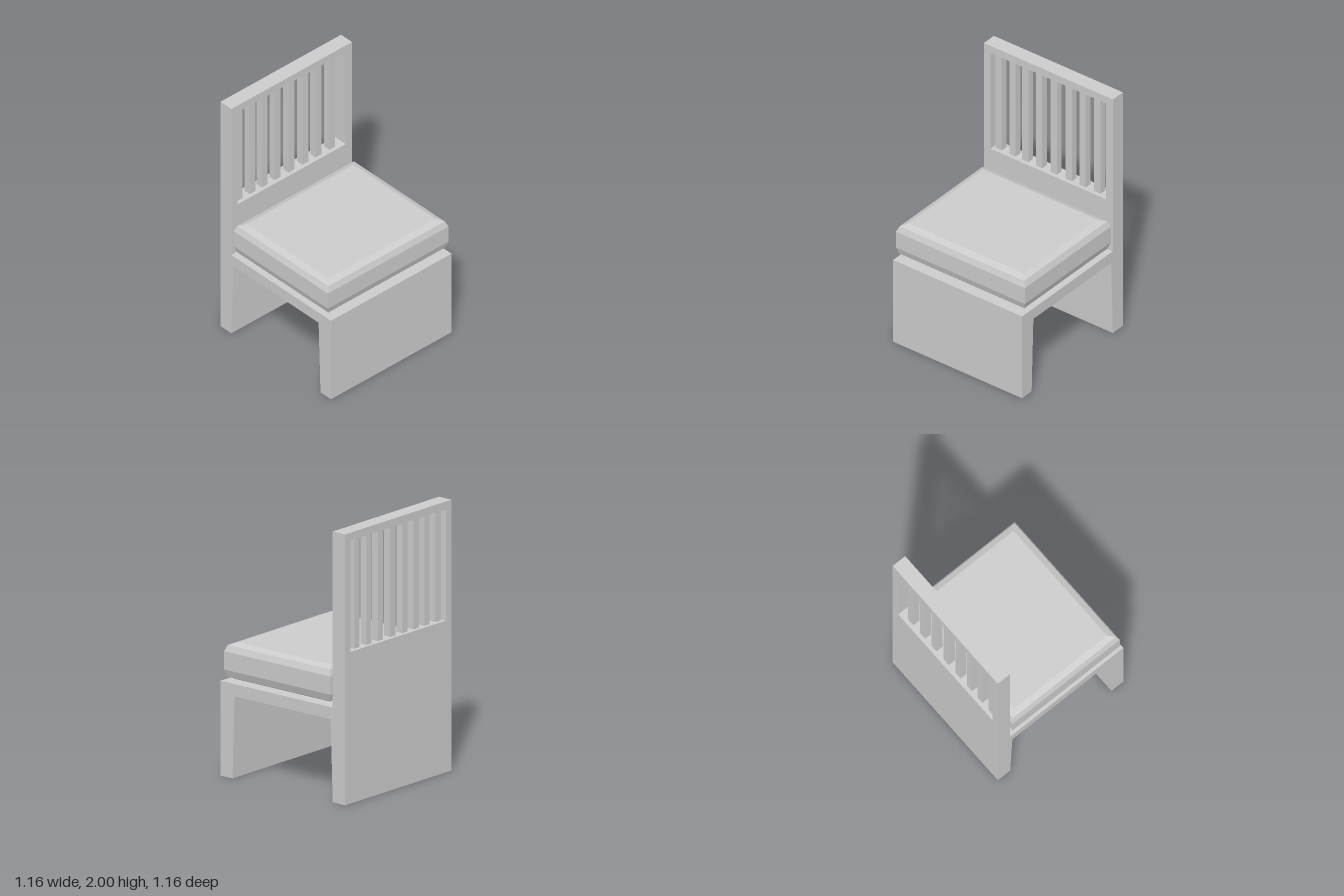
import * as THREE from 'three';

const WIDTH = 1.16;
const SILL = 1.12; // bottom of the slatted opening
const TOP = 2;
const BACK_Z = -0.58;
const BACK_DEPTH = 0.115;

const material = new THREE.MeshStandardMaterial({ color: 0xcccccc, flatShading: true });

function addMesh(parent, name, geometry) {
  const mesh = new THREE.Mesh(geometry, material);
  mesh.name = name;
  parent.add(mesh);
  return mesh;
}

const points = (list) => list.map(([x, y]) => new THREE.Vector2(x, y));

// Side profile (z, y) of slab legs, seat board and solid lower back, swept across the width
function bodyGeometry() {
  const front = BACK_Z + BACK_DEPTH;
  const profile = new THREE.Shape(points([
    [BACK_Z, 0], [front, 0], [-0.445, 0.61], [0.45, 0.61], [0.47, 0], [0.58, 0],
    [0.58, 0.7], [front, 0.7], [front, SILL], [BACK_Z, SILL],
  ]));
  return new THREE.ExtrudeGeometry(profile, { depth: WIDTH, bevelEnabled: false })
    .translate(0, 0, -WIDTH / 2)
    .rotateY(-Math.PI / 2);
}

// Inverted U around the slats, standing on the lower back
function backFrameGeometry() {
  const outer = WIDTH / 2, inner = 0.52, head = 1.94;
  const shape = new THREE.Shape(points([
    [-outer, SILL], [-inner, SILL], [-inner, head], [inner, head],
    [inner, SILL], [outer, SILL], [outer, TOP], [-outer, TOP],
  ]));
  return new THREE.ExtrudeGeometry(shape, { depth: BACK_DEPTH, bevelEnabled: false })
    .translate(0, 0, BACK_Z);
}

// Cushion lofted through rectangles: each section is [y, half width, half depth]
function cushionGeometry() {
  const sections = [
    [0.715, 0.515, 0.43], [0.735, 0.56, 0.477], [0.79, 0.58, 0.495],
    [0.925, 0.58, 0.495], [0.97, 0.56, 0.477], [0.99, 0.515, 0.43],
  ];
  const position = [];
  const index = [];
  for (const [y, w, d] of sections) {
    position.push(-w, y, d, w, y, d, w, y, -d, -w, y, -d);
  }
  for (let s = 0; s < sections.length - 1; s++) {
    for (let i = 0; i < 4; i++) {
      const a = s * 4 + i, b = s * 4 + (i + 1) % 4;
      index.push(a, b, b + 4, a, b + 4, a + 4);
    }
  }
  const t = (sections.length - 1) * 4;
  index.push(t, t + 1, t + 2, t, t + 2, t + 3, 0, 2, 1, 0, 3, 2);
  const indexed = new THREE.BufferGeometry();
  indexed.setAttribute('position', new THREE.Float32BufferAttribute(position, 3));
  indexed.setIndex(index);
  const geometry = indexed.toNonIndexed();
  geometry.computeVertexNormals();
  return geometry;
}

export function createModel() {
  const chair = new THREE.Group();
  chair.name = 'chair';

  addMesh(chair, 'body', bodyGeometry());
  addMesh(chair, 'backFrame', backFrameGeometry());
  addMesh(chair, 'cushion', cushionGeometry()).position.z = 0.053;

  // Upright slats in the back opening, slightly uneven in spacing
  const slats = new THREE.Group();
  slats.name = 'backSlats';
  chair.add(slats);
  const slatGeometry = new THREE.BoxGeometry(0.056, 0.82, 0.056);
  for (const x of [-0.472, -0.347, -0.232, -0.107, 0.025, 0.16, 0.285, 0.417]) {
    addMesh(slats, 'slat', slatGeometry).position.set(x, 1.53, BACK_Z + BACK_DEPTH / 2);
  }
  return chair;
}
